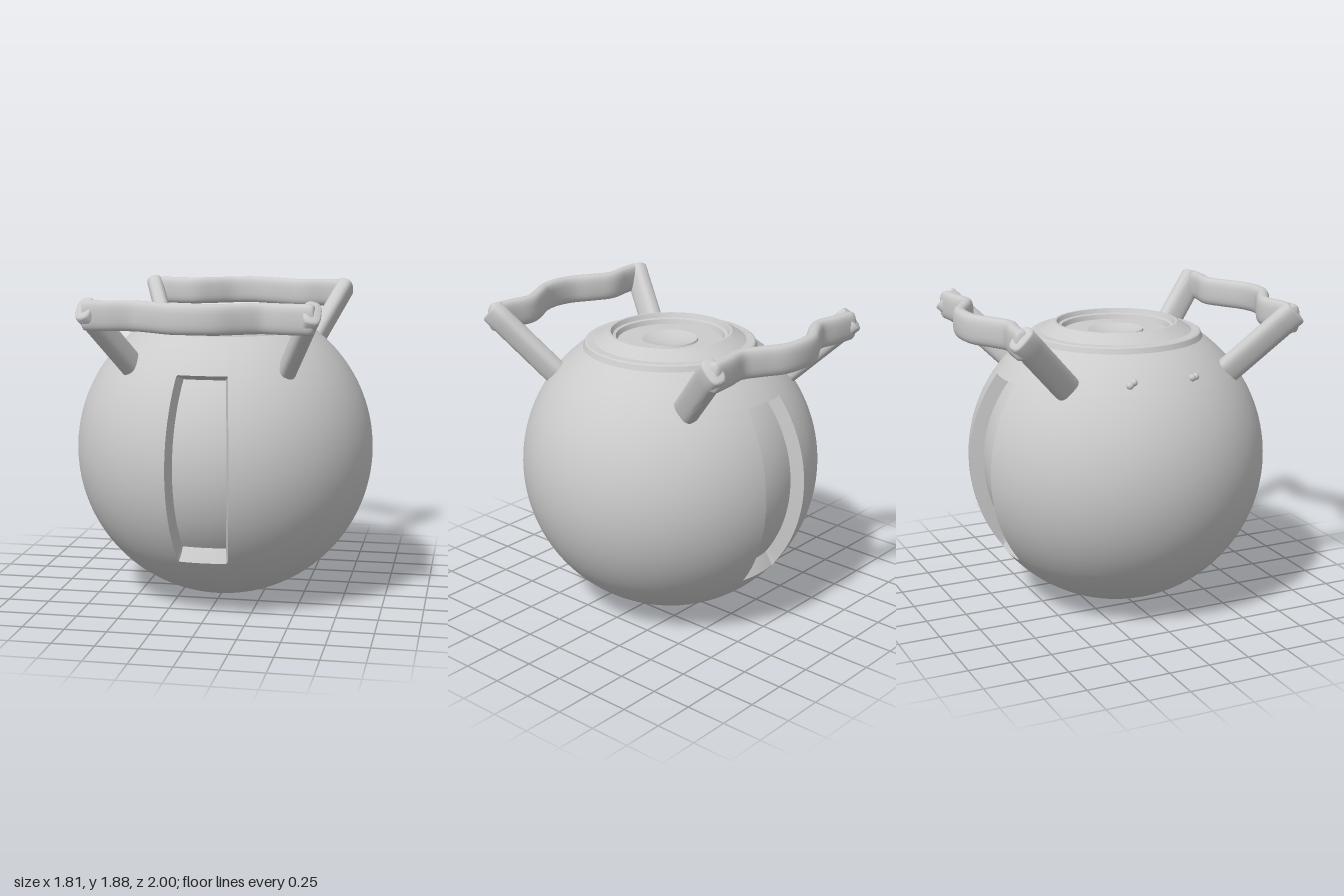
import * as THREE from 'three';
import { toCreasedNormals } from 'three/addons/utils/BufferGeometryUtils.js';

const R = 0.903, CY = 0.903, DEG = Math.PI / 180;
const material = new THREE.MeshStandardMaterial({ color: 0xcccccc });

// Surface from a rule: u runs around, v runs along
function grid(nu, nv, point, crease) {
  const pos = [], index = [], w = nu + 1;
  for (let j = 0; j <= nv; j++) for (let i = 0; i <= nu; i++) pos.push(...point(i, j));
  for (let j = 0; j < nv; j++) for (let i = 0; i < nu; i++) {
    const a = j * w + i;
    index.push(a, a + 1, a + w + 1, a, a + w + 1, a + w);
  }
  const g = new THREE.BufferGeometry();
  g.setAttribute('position', new THREE.Float32BufferAttribute(pos, 3));
  g.setIndex(index);
  return toCreasedNormals(g, crease);
}

// Evenly filled list of angles passing exactly through the given stops
function angles(stops, step) {
  const out = [stops[0]];
  for (let k = 1; k < stops.length; k++) {
    const a = stops[k - 1], b = stops[k], n = Math.max(1, Math.ceil((b - a) / step));
    for (let i = 1; i <= n; i++) out.push(a + (b - a) * i / n);
  }
  return out;
}

const ramp = (x, a, b) => Math.min(1, Math.max(0, (x - a) / (b - a)));

// Ball with a sunken panel on the front and on the back
function ballGeometry() {
  const edge = 11.7, wall = 0.7, low = -37.8, lowIn = -35.2, high = 36.6, highIn = 36.2;
  const lons = angles([-edge, -edge + wall, edge - wall, edge,
    180 - edge, 180 - edge + wall, 180 + edge - wall, 180 + edge, 360 - edge], 3);
  const lats = angles([-90, low, lowIn, highIn, high, 55.4], 2.5);
  return grid(lons.length - 1, lats.length - 1, (i, j) => {
    const lon = lons[i] * DEG;
    let lat = lats[j];
    const off = Math.abs(((lons[i] + 90) % 180) - 90);
    const sunk = (1 - ramp(off, edge - wall, edge)) * ramp(lat, low, lowIn) * (1 - ramp(lat, highIn, high));
    // the top wall of the panel undercuts slightly
    lat += sunk * Math.max(0, lat - 20) * 0.11;
    const r = R - 0.083 * sunk, c = Math.cos(lat * DEG) * r;
    return [Math.sin(lon) * c, CY + Math.sin(lat * DEG) * r, Math.cos(lon) * c];
  }, 0.6);
}

// Rounded-box section swept along a curve, closed at both ends
function sweep(curve, up, halfWidth, halfHeight, n) {
  const sides = 28, round = (v) => Math.sign(v) * Math.abs(v) ** 0.7;
  const rows = [[0, 0], [0, 0.8], [0.006, 0.94], [0.02, 1]];
  for (let i = 1; i < n; i++) rows.push([0.02 + 0.96 * i / n, 1]);
  rows.push([0.98, 1], [0.994, 0.94], [1, 0.8], [1, 0]);
  return grid(sides, rows.length - 1, (i, j) => {
    const [t, s] = rows[j], a = (i % sides) / sides * Math.PI * 2;
    const side = up.clone().cross(curve.getTangentAt(t)).normalize();
    return curve.getPointAt(t)
      .addScaledVector(side, round(Math.cos(a)) * halfWidth * s)
      .addScaledVector(up, round(Math.sin(a)) * halfHeight * s).toArray();
  }, 0.9);
}

export function createModel() {
  const model = new THREE.Group();
  const add = (name, geometry, parent = model) => {
    const mesh = new THREE.Mesh(geometry, material);
    mesh.name = name;
    parent.add(mesh);
    return mesh;
  };

  add('ball', ballGeometry());

  // Raised collar with a stepped well and a dished centre
  const profile = [[0.526, 1.63], [0.51, 1.67], [0.5, 1.676], [0.455, 1.678], [0.37, 1.73], [0.355, 1.73],
    [0.343, 1.705], [0.325, 1.7], [0.315, 1.672], [0.167, 1.672], [0.163, 1.682],
    [0.12, 1.668], [0.06, 1.658], [0, 1.655]].map(([x, y]) => new THREE.Vector2(x, y));
  add('topCollar', toCreasedNormals(new THREE.LatheGeometry(profile, 96), 0.4));

  // Front and back handles: two slanted legs and a bowed grip
  const V = (x, y, z) => new THREE.Vector3(x, y, z);
  const bow = [[0.65, 0.852], [0.5, 0.838], [0.36, 0.818], [0.25, 0.868], [0.12, 0.94]];
  for (const s of [1, -1]) {
    const handle = new THREE.Group();
    handle.name = s > 0 ? 'frontHandle' : 'backHandle';
    model.add(handle);
    for (const x of [1, -1]) {
      const leg = new THREE.LineCurve3(V(0.43 * x, 1.41, 0.46 * s), V(0.642 * x, 1.828, 0.862 * s));
      const up = V(0, 0.7, -0.71 * s).normalize();
      add(x > 0 ? 'leftLeg' : 'rightLeg', sweep(leg, up, 0.052, 0.08, 6), handle);
    }
    const path = [
      ...bow.map(([x, z]) => V(-x, 1.783, z * s)),
      V(0, 1.785, 0.958 * s),
      ...[...bow].reverse().map(([x, z]) => V(x, 1.783, z * s)),
    ];
    add('grip', sweep(new THREE.CatmullRomCurve3(path), V(0, 1, 0), 0.042, 0.086, 48), handle);
  }

  // Two small studs on the right shoulder
  for (const z of [0.19, -0.2]) {
    const normal = V(-0.65, 0.6, z).normalize();
    const stud = new THREE.Group();
    stud.name = 'stud';
    stud.position.copy(normal).multiplyScalar(R).add(V(0, CY, 0));
    stud.quaternion.setFromUnitVectors(V(0, 1, 0), normal);
    model.add(stud);
    for (const k of [1, -1]) {
      const knob = add('studKnob', new THREE.SphereGeometry(0.021, 16, 10), stud);
      knob.position.set(0.006 * k, 0.004, 0.014 * k);
    }
  }
  return model;
}
